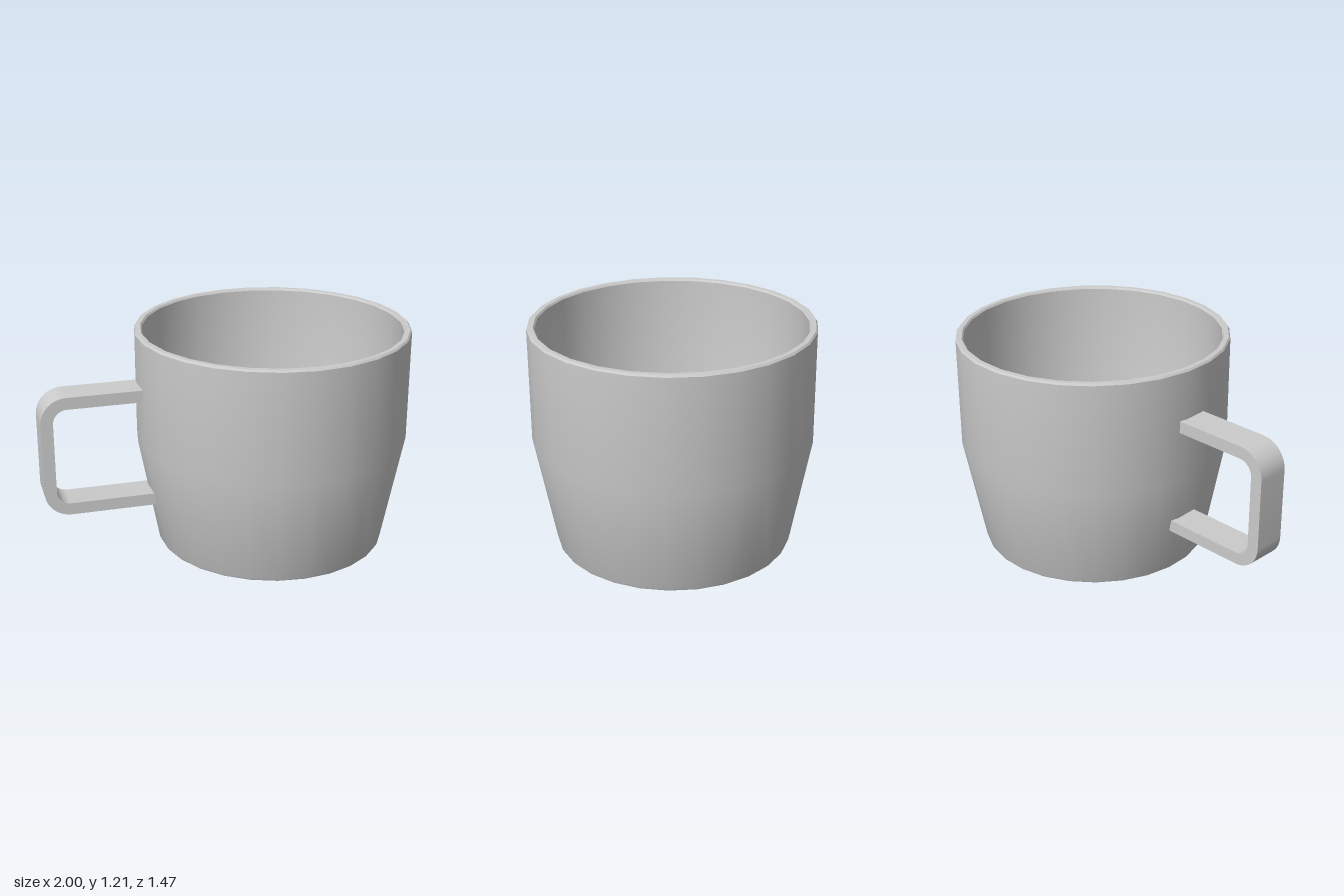
import * as THREE from 'three';
import { toCreasedNormals } from 'three/addons/utils/BufferGeometryUtils.js';

const SIDES = 27;
const CENTRE_X = 0.265, CENTRE_Z = -0.0025;

// One closed wall profile: recessed underside, foot, outside, rim, inside, floor
function cupGeometry() {
  const profile = [
    [0, 0.03], [0.585, 0.03], [0.59, 0.008], [0.598, 0],
    [0.612, 0], [0.622, 0.005], [0.627, 0.016],
    [0.735, 0.6], [0.735, 1.195], [0.727, 1.205],
    [0.702, 1.205], [0.694, 1.195],
    [0.694, 0.604], [0.595, 0.075], [0.58, 0.06], [0, 0.06],
  ].map(([r, y]) => new THREE.Vector2(r, y));
  return toCreasedNormals(new THREE.LatheGeometry(profile, SIDES), 0.6);
}

// Flat C-shaped band with rounded corners, extruded across its width
function handleGeometry() {
  const left = -1, bottom = 0.275, top = 0.935, t = 0.065;
  const rOut = 0.14, rIn = 0.075, width = 0.176;
  const topEnd = -0.45, bottomEnd = -0.4;
  const cx = left + rOut, cTop = top - rOut, cBottom = bottom + rOut;

  const band = new THREE.Shape();
  band.moveTo(topEnd, top);
  band.lineTo(cx, top);
  band.absarc(cx, cTop, rOut, Math.PI / 2, Math.PI, false);
  band.absarc(cx, cBottom, rOut, Math.PI, Math.PI * 1.5, false);
  band.lineTo(bottomEnd, bottom);
  band.lineTo(bottomEnd, bottom + t);
  band.absarc(cx, cBottom, rIn, Math.PI * 1.5, Math.PI, true);
  band.absarc(cx, cTop, rIn, Math.PI, Math.PI / 2, true);
  band.lineTo(topEnd, top - t);
  band.closePath();

  const geometry = new THREE.ExtrudeGeometry(band, {
    depth: width, bevelEnabled: false, curveSegments: 6,
  });
  geometry.translate(0, 0, CENTRE_Z - width / 2);
  return toCreasedNormals(geometry, 0.6);
}

export function createModel() {
  const group = new THREE.Group();
  group.name = 'mug';
  const material = new THREE.MeshStandardMaterial({ color: 0xcccccc });

  const cup = new THREE.Mesh(cupGeometry(), material);
  cup.name = 'cup';
  cup.position.set(CENTRE_X, 0, CENTRE_Z);

  const handle = new THREE.Mesh(handleGeometry(), material);
  handle.name = 'handle';

  group.add(cup, handle);
  return group;
}
